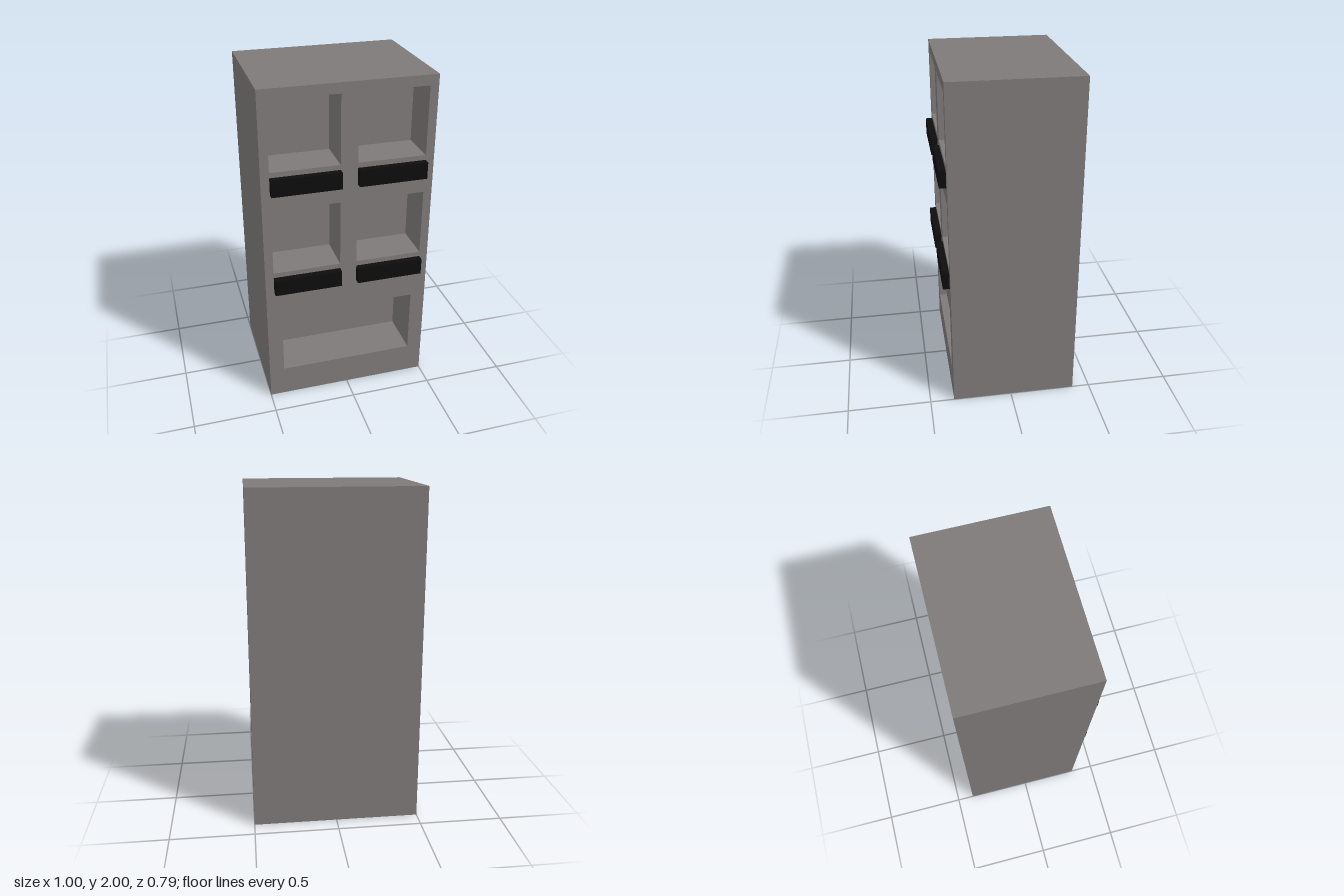
import * as THREE from 'three';

const FRONT = 0.355, BACK = -0.395;

// Box given by its limits; openFront drops the +z face, inward turns it inside out.
function box(x0, x1, y0, y1, z0, z1, { openFront = false, inward = false } = {}) {
  const g = new THREE.BoxGeometry(x1 - x0, y1 - y0, z1 - z0);
  g.translate((x0 + x1) / 2, (y0 + y1) / 2, (z0 + z1) / 2);
  let index = Array.from(g.index.array);
  if (openFront) index.splice(24, 6);
  if (inward) index.reverse();
  g.clearGroups();
  g.setIndex(index);
  if (inward) g.computeVertexNormals();
  return g;
}

export function createModel() {
  const group = new THREE.Group();
  group.name = 'cabinet';
  const bodyMat = new THREE.MeshStandardMaterial({ color: 0x7f7a7a });
  const blackMat = new THREE.MeshStandardMaterial({ color: 0x0c0d0c });

  const add = (name, geometry, material) => {
    const mesh = new THREE.Mesh(geometry, material);
    mesh.name = name;
    group.add(mesh);
  };

  // Recesses: x limits, y limits, depth
  const recesses = [{ name: 'lowerRecess', x0: -0.41, x1: 0.41, y0: 0.19, y1: 0.595, depth: 0.28 }];
  for (const [row, y0] of [['middle', 0.9], ['upper', 1.535]]) {
    for (const [side, x0] of [['Right', -0.45], ['Left', 0.05]]) {
      recesses.push({ name: `${row}${side}Recess`, x0, x1: x0 + 0.4, y0, y1: y0 + 0.404, depth: 0.235 });
      // Black ledge under each window
      add(`${row}${side}Ledge`, box(x0, x0 + 0.4, y0 - 0.13, y0 - 0.03, FRONT, 0.395), blackMat);
    }
  }

  // Outer shell, open at the front
  add('bodyShell', box(-0.5, 0.5, 0, 2, BACK, FRONT, { openFront: true }), bodyMat);

  // Front panel with the recess openings cut out
  const panel = new THREE.Shape([[-0.5, 0], [0.5, 0], [0.5, 2], [-0.5, 2]].map(p => new THREE.Vector2(...p)));
  for (const { name, x0, x1, y0, y1, depth } of recesses) {
    panel.holes.push(new THREE.Path([[x0, y0], [x0, y1], [x1, y1], [x1, y0]].map(p => new THREE.Vector2(...p))));
    add(name, box(x0, x1, y0, y1, FRONT - depth, FRONT, { openFront: true, inward: true }), bodyMat);
  }
  add('frontPanel', new THREE.ShapeGeometry(panel).translate(0, 0, FRONT), bodyMat);

  return group;
}
